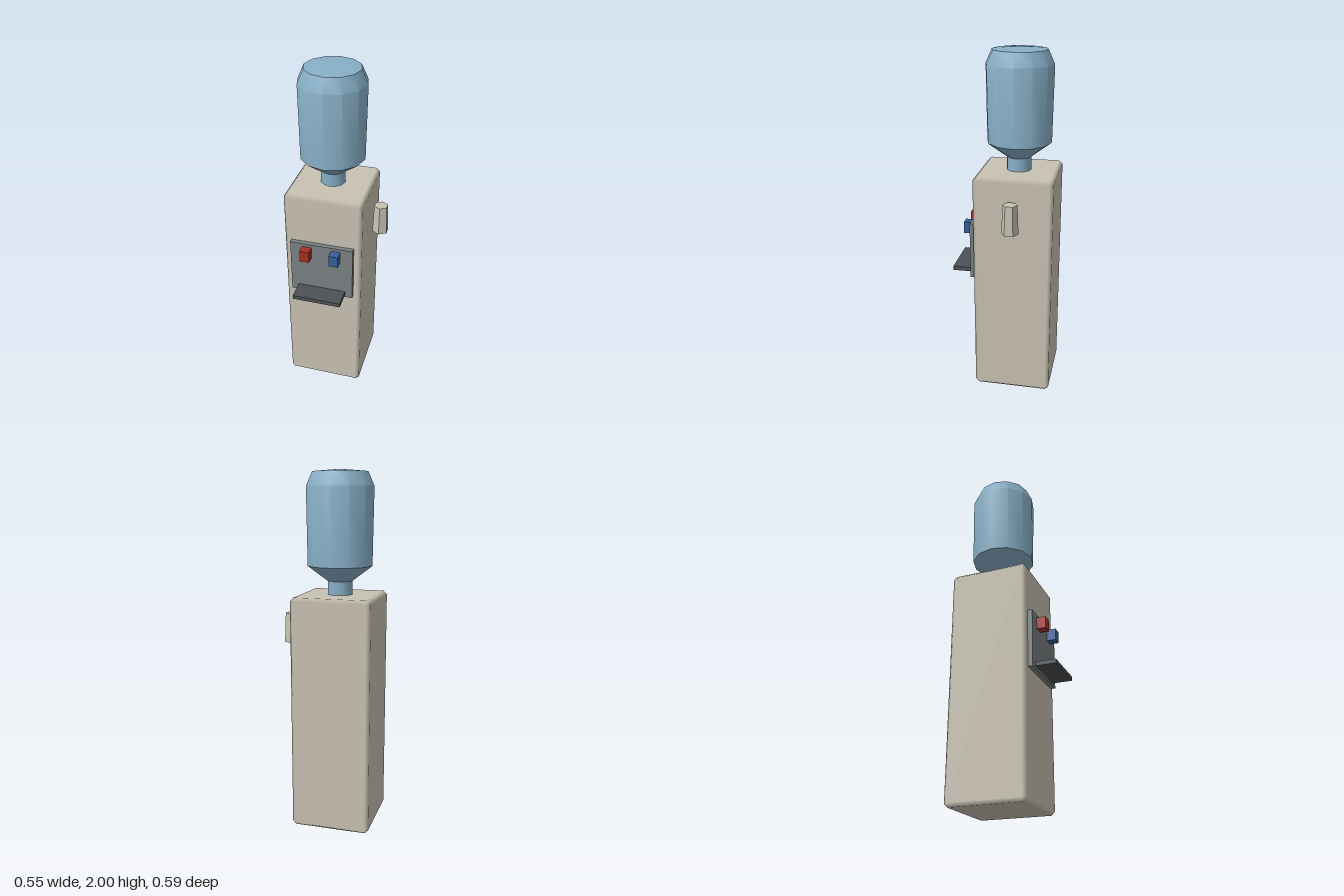
import * as THREE from 'three';
import { toCreasedNormals } from 'three/addons/utils/BufferGeometryUtils.js';
import { ConvexGeometry } from 'three/addons/geometries/ConvexGeometry.js';

const material = (name, color) => {
  const m = new THREE.MeshStandardMaterial({ color });
  m.name = name;
  return m;
};

// Box with one 45 degree chamfer per edge; flat faces, softly shaded chamfers
function chamferedBox(w, h, d, c) {
  const half = [w / 2, h / 2, d / 2];
  const points = [];
  for (const sx of [-1, 1]) for (const sy of [-1, 1]) for (const sz of [-1, 1]) {
    for (let axis = 0; axis < 3; axis++) {
      const p = [sx, sy, sz].map((s, i) => s * (half[i] - (i === axis ? 0 : c)));
      points.push(new THREE.Vector3(...p));
    }
  }
  const geo = new ConvexGeometry(points);
  const pos = geo.attributes.position, normal = geo.attributes.normal;
  for (let i = 0; i < pos.count; i++) {
    const p = [pos.getX(i), pos.getY(i), pos.getZ(i)];
    const n = p.map((v, k) => (Math.abs(v) > half[k] - c / 2 ? Math.sign(v) : 0));
    normal.setXYZ(i, ...n);
  }
  return geo;
}

export function createModel() {
  const cooler = new THREE.Group();
  cooler.name = 'waterCooler';
  const shell = material('warm grey shell', 0xc8c2b2);
  const panelGrey = material('panel grey', 0x7a8182);
  const trayGrey = material('dark tray grey', 0x4d5055);
  const hotRed = material('hot red', 0xa63024);
  const coldBlue = material('cold blue', 0x385f9b);
  const bottleBlue = material('bottle blue', 0x88b0c8);

  const add = (name, geo, mat, x, y, z) => {
    const mesh = new THREE.Mesh(geo, mat);
    mesh.name = name;
    mesh.position.set(x, y, z);
    cooler.add(mesh);
  };
  const addBox = (name, mat, [x0, x1], [y0, y1], [z0, z1]) =>
    add(name, new THREE.BoxGeometry(x1 - x0, y1 - y0, z1 - z0), mat,
      (x0 + x1) / 2, (y0 + y1) / 2, (z0 + z1) / 2);

  const cx = -0.05, cz = -0.071;

  // Cabinet
  add('cabinet', chamferedBox(0.447, 1.325, 0.448, 0.02), shell, cx, 0.6625, cz);

  // Upturned bottle: neck, shoulder cone, barrel and rounded-off base
  const profile = [
    [0, 1.31], [0.07, 1.31], [0.07, 1.4], [0.183, 1.485],
    [0.189, 1.91], [0.154, 1.987], [0, 2],
  ].map(([r, y]) => new THREE.Vector2(r, y));
  add('bottle', toCreasedNormals(new THREE.LatheGeometry(profile, 12), 0.6), bottleBlue, cx, 0, cz);

  // Dispenser panel, taps and drip tray
  addBox('dispenserPanel', panelGrey, [-0.232, 0.132], [0.705, 1.037], [0.15, 0.18]);
  addBox('hotTap', hotRed, [-0.162, -0.107], [0.95, 1.018], [0.17, 0.231]);
  addBox('coldTap', coldBlue, [0.007, 0.061], [0.95, 1.018], [0.17, 0.231]);
  addBox('dripTray', trayGrey, [-0.19, 0.09], [0.72, 0.744], [0.17, 0.294]);

  // Cup stack beside the cabinet
  const cups = new THREE.CylinderGeometry(0.041, 0.048, 0.168, 6).toNonIndexed();
  cups.computeVertexNormals();
  add('cupStack', cups, shell, 0.231, 1.122, cz);

  return cooler;
}
